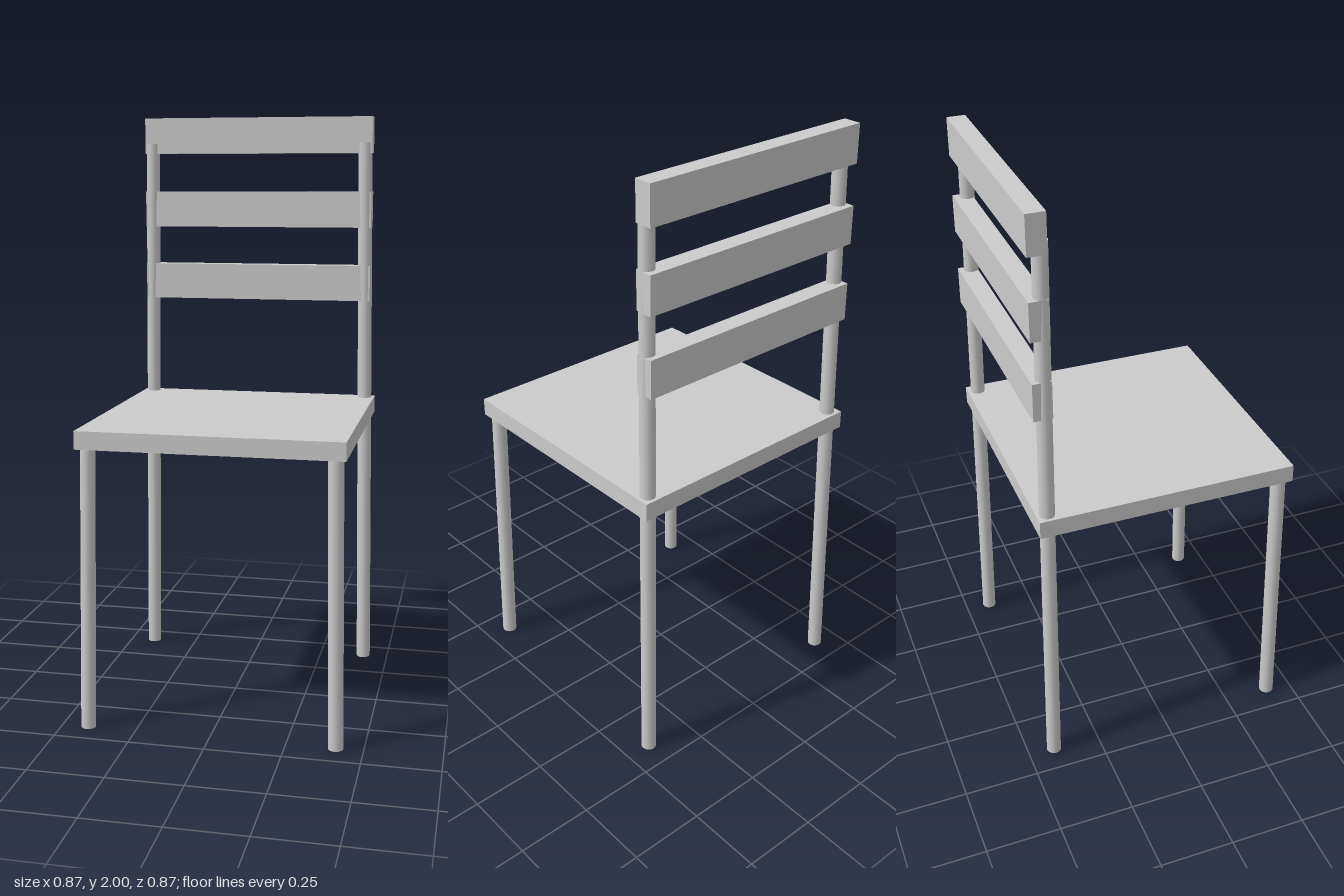
import * as THREE from 'three';

export function createModel() {
  const chair = new THREE.Group();
  chair.name = 'chair';
  const material = new THREE.MeshStandardMaterial({ color: 0xcccccc });

  const add = (name, geometry) => {
    const mesh = new THREE.Mesh(geometry, material);
    mesh.name = name;
    chair.add(mesh);
    return mesh;
  };

  // Round rod whose axis runs from one point to another
  const addRod = (name, from, to, radius = 0.025) => {
    const axis = to.clone().sub(from);
    const rod = add(name, new THREE.CylinderGeometry(radius, radius, axis.length(), 12));
    rod.position.copy(from).add(to).multiplyScalar(0.5);
    rod.quaternion.setFromUnitVectors(new THREE.Vector3(0, 1, 0), axis.normalize());
  };

  // Square seat board
  add('seat', new THREE.BoxGeometry(0.866, 0.06, 0.866)).position.y = 0.97;

  // Legs lean inward; the rear pair carries on up as the back posts
  const foot = 0.411;
  for (const [side, sx] of [['left', 1], ['right', -1]]) {
    addRod(side + 'FrontLeg',
      new THREE.Vector3(sx * foot, 0, foot),
      new THREE.Vector3(sx * 0.398, 0.95, 0.398));
    addRod(side + 'BackLegAndPost',
      new THREE.Vector3(sx * foot, 0, -foot),
      new THREE.Vector3(sx * 0.387, 1.91, -0.387));
  }

  // Three flat slats across the back
  ['lower', 'middle', 'top'].forEach((level, i) => {
    const slat = add(level + 'BackSlat', new THREE.BoxGeometry(0.826, 0.126, 0.061));
    slat.position.set(0, 1.415 + i * 0.261, -0.4025);
  });

  return chair;
}
